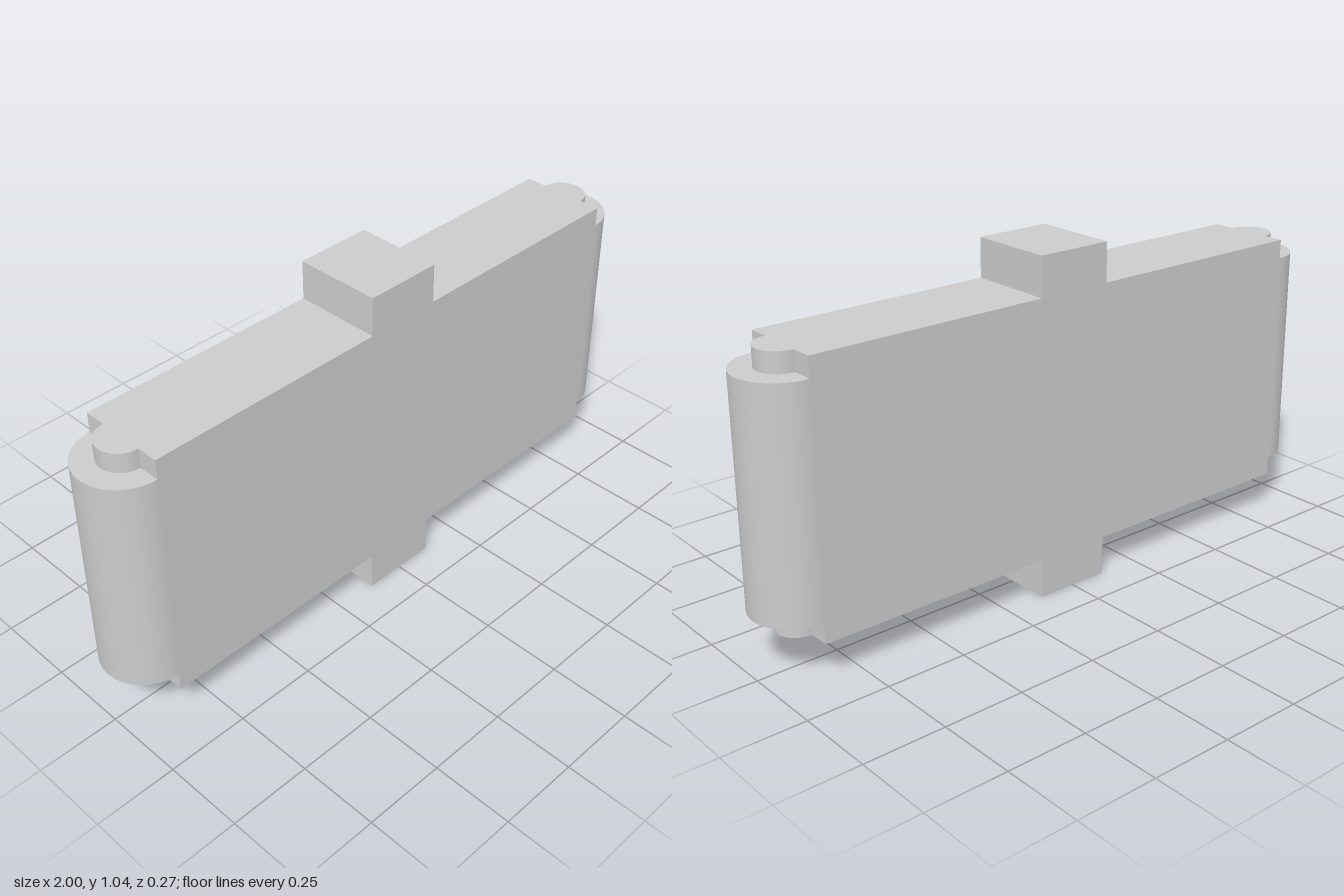
import * as THREE from 'three';

const HALF_DEPTH = 0.135; // also the radius of the rounded ends
const SLAB_X = 0.865;
const MID_Y = 0.52;

export function createModel() {
  const group = new THREE.Group();
  const material = new THREE.MeshStandardMaterial({ color: 0xcccccc });

  const add = (name, geometry, x = 0, y = 0, z = 0) => {
    const mesh = new THREE.Mesh(geometry, material);
    mesh.name = name;
    mesh.position.set(x, y, z);
    group.add(mesh);
  };

  // Slab with the raised centre block, as one cross-shaped outline
  const quarter = [[0.12, 0.52], [0.12, 0.40], [SLAB_X, 0.40]];
  const mirrored = (sx, sy) => quarter.map(([x, y]) => new THREE.Vector2(x * sx, y * sy));
  const outline = new THREE.Shape([
    ...mirrored(1, -1),
    ...mirrored(1, 1).reverse(),
    ...mirrored(-1, 1),
    ...mirrored(-1, -1).reverse(),
  ]);
  const body = new THREE.ExtrudeGeometry(outline, { depth: 2 * HALF_DEPTH, bevelEnabled: false });
  add('body', body, 0, MID_Y, -HALF_DEPTH);

  // Half-round end caps, each with a narrower pin showing above and below
  for (const [side, sign] of [['left', 1], ['right', -1]]) {
    const halfRound = (radius, height) =>
      new THREE.CylinderGeometry(radius, radius, height, 32, 1, false, sign > 0 ? 0 : Math.PI, Math.PI);
    add(side + 'RoundedEnd', halfRound(HALF_DEPTH, 0.68), sign * SLAB_X, MID_Y);
    add(side + 'Pin', halfRound(0.07, 0.8), sign * SLAB_X, MID_Y);
  }

  return group;
}
